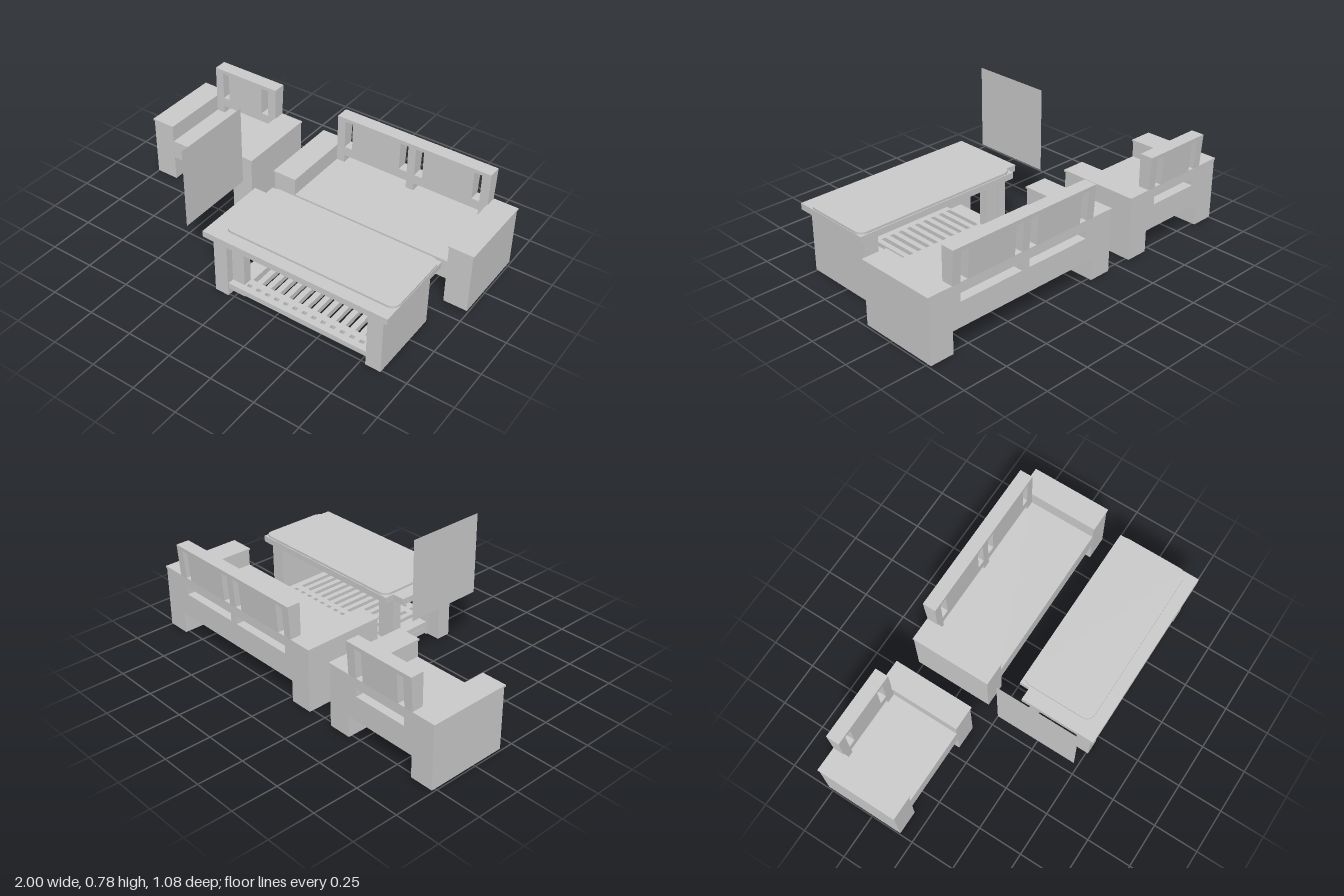
import * as THREE from 'three';

const material = new THREE.MeshStandardMaterial({ color: 0xcccccc, flatShading: true });

function addMesh(parent, name, geometry) {
  const mesh = new THREE.Mesh(geometry, material);
  mesh.name = name;
  parent.add(mesh);
  return mesh;
}

// Box given by its limits on each axis
function addBox(parent, name, x0, x1, y0, y1, z0, z1) {
  const geometry = new THREE.BoxGeometry(x1 - x0, y1 - y0, z1 - z0);
  return addMesh(parent, name, geometry.translate((x0 + x1) / 2, (y0 + y1) / 2, (z0 + z1) / 2));
}

function rectPoints(x0, x1, y0, y1) {
  return [[x0, y0], [x1, y0], [x1, y1], [x0, y1]].map(([x, y]) => new THREE.Vector2(x, y));
}

// Rectangular board with rectangular holes, each [x0, x1, y0, y1]
function boardGeometry(outline, holes, depth) {
  const shape = new THREE.Shape(rectPoints(...outline));
  for (const hole of holes) shape.holes.push(new THREE.Path(rectPoints(...hole).reverse()));
  return new THREE.ExtrudeGeometry(shape, { depth, bevelEnabled: false });
}

// Lays an extruded (x, z) shape flat with its underside at height y
function layFlat(geometry, y, depth) {
  return geometry.rotateX(Math.PI / 2).translate(0, y + depth, 0);
}

// Seat with block arms; innerLeft and innerRight are the inner arm faces
function createSeat(name, x0, innerLeft, innerRight, x1, rearBottom, slots, gaps) {
  const seat = new THREE.Group();
  seat.name = name;
  addBox(seat, 'rightArm', x0 + 0.005, innerLeft, 0.007, 0.35, -0.527, -0.076);
  addBox(seat, 'leftArm', innerRight, x1 - 0.006, 0.007, 0.35, -0.527, -0.076);
  addBox(seat, 'rightArmTop', x0, innerLeft + 0.004, 0.35, 0.36, -0.529, -0.071);
  addBox(seat, 'leftArmTop', innerRight - 0.004, x1, 0.35, 0.36, -0.529, -0.071);

  // Seat block whose underside may drop towards the rear
  const base = addBox(seat, 'seatBase', innerLeft, innerRight, 0.152, 0.26, -0.47, -0.077);
  const b = base.geometry.attributes.position;
  for (let i = 0; i < b.count; i++) {
    if (b.getY(i) < 0.2 && b.getZ(i) < -0.4) b.setY(i, rearBottom);
  }
  base.geometry.computeVertexNormals();

  // Lower backrest, upright, with long gaps above the seat
  const lower = boardGeometry([innerLeft, innerRight, 0.127, 0.357],
    gaps.map(([a, c]) => [a, c, 0.26, 0.305]), 0.062);
  addMesh(seat, 'lowerBackrest', lower.translate(0, 0, -0.527));

  // Upper backrest with tall slots, its rear face leaning outward
  const upper = boardGeometry([innerLeft, innerRight, 0.357, 0.541],
    slots.map(([a, c]) => [a, c, 0.359, 0.52]), 0.062);
  upper.translate(0, 0, -0.527);
  const p = upper.attributes.position;
  for (let i = 0; i < p.count; i++) {
    if (p.getZ(i) < -0.5) p.setZ(i, -0.527 - (p.getY(i) - 0.357) * 0.07);
  }
  upper.computeVertexNormals();
  addMesh(seat, 'upperBackrest', upper);
  return seat;
}

function createTable() {
  const table = new THREE.Group();
  table.name = 'coffeeTable';

  // Table top with a notched rear corner
  const top = new THREE.Shape([
    [-0.15, 0.12], [-0.08, 0.12], [-0.08, 0.065], [0.9, 0.065], [0.9, 0.54], [-0.15, 0.54],
  ].map(([x, z]) => new THREE.Vector2(x, z)));
  addMesh(table, 'tableTop', layFlat(
    new THREE.ExtrudeGeometry(top, { depth: 0.035, bevelEnabled: false }), 0.343, 0.035));

  // Rounded pane lying on the top
  const [x0, x1, z0, z1, r] = [-0.07, 0.898, 0.07, 0.473, 0.045];
  const pane = new THREE.Shape();
  pane.absarc(x1 - r, z1 - r, r, 0, Math.PI / 2);
  pane.absarc(x0 + r, z1 - r, r, Math.PI / 2, Math.PI);
  pane.absarc(x0 + r, z0 + r, r, Math.PI, Math.PI * 1.5);
  pane.absarc(x1 - r, z0 + r, r, Math.PI * 1.5, Math.PI * 2);
  addMesh(table, 'topPane', layFlat(
    new THREE.ExtrudeGeometry(pane, { depth: 0.012, bevelEnabled: false, curveSegments: 6 }),
    0.378, 0.012));

  // Solid end on one side, separate posts and a low rail on the other
  addBox(table, 'endPanel', 0.78, 0.864, 0, 0.343, 0.093, 0.51);
  addBox(table, 'frontOuterLeg', -0.11, -0.03, 0, 0.343, 0.43, 0.51);
  addBox(table, 'rearOuterLeg', -0.078, -0.03, 0, 0.343, 0.122, 0.175);
  addBox(table, 'frontInnerLeg', -0.03, 0.043, 0, 0.343, 0.42, 0.47);
  addBox(table, 'rearInnerLeg', -0.03, 0.043, 0, 0.343, 0.135, 0.185);
  addBox(table, 'endRail', -0.03, 0.043, 0.01, 0.046, 0.185, 0.42);

  // Lower shelf with long slots and a short hole at both ends of each
  const holes = [];
  for (let i = 0; i < 13; i++) {
    const x = 0.055 + i * 0.055;
    holes.push([x, x + 0.025, 0.19, 0.415], [x, x + 0.025, 0.135, 0.155], [x, x + 0.025, 0.45, 0.47]);
  }
  addMesh(table, 'slattedShelf', layFlat(
    boardGeometry([-0.03, 0.78, 0.1, 0.505], holes, 0.03), 0.047, 0.03));
  return table;
}

export function createModel() {
  const model = new THREE.Group();
  model.name = 'livingRoomSet';

  model.add(createSeat('armchair', -1, -0.865, -0.452, -0.318, 0.152,
    [[-0.815, -0.775], [-0.548, -0.503]], [[-0.815, -0.503]]));
  model.add(createSeat('sofa', -0.175, -0.042, 0.862, 1, 0.13,
    [[0.005, 0.052], [0.343, 0.39], [0.435, 0.482], [0.77, 0.813]],
    [[0.005, 0.39], [0.435, 0.813]]));
  model.add(createTable());

  // Thin upright sheet beside the table
  const sheet = addMesh(model, 'uprightSheet', new THREE.PlaneGeometry(0.45, 0.45));
  sheet.material = material.clone();
  sheet.material.side = THREE.DoubleSide;
  sheet.rotation.y = Math.PI / 2;
  sheet.position.set(-0.277, 0.552, 0.284);
  return model;
}
